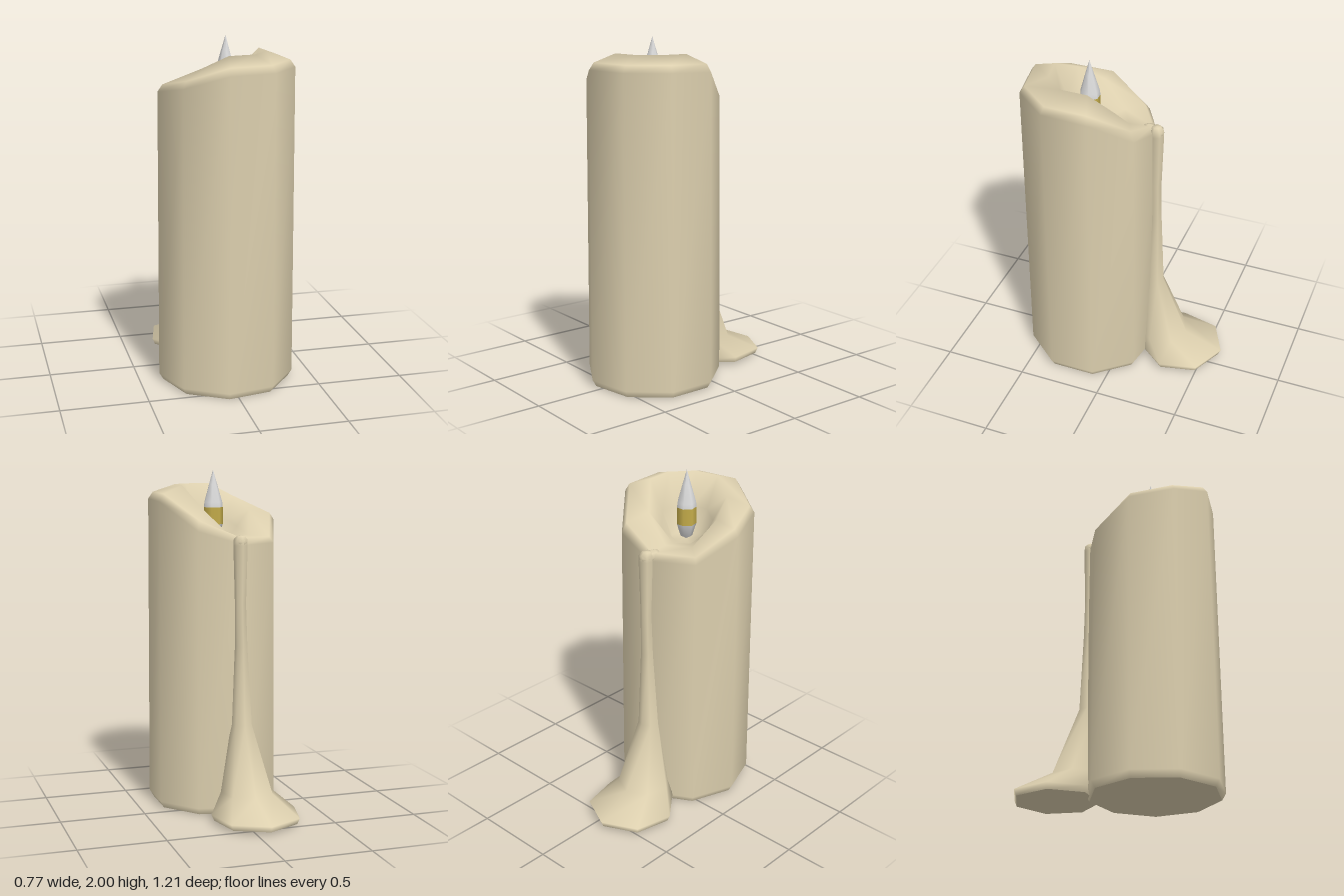
import * as THREE from 'three';

// Smooth skin through rings of points, ordered bottom to top (outward facing).
function loft(rings) {
  const n = rings[0].length, pos = [], idx = [];
  rings.forEach(r => r.forEach(p => pos.push(...p)));
  for (let i = 0; i < rings.length - 1; i++) {
    for (let j = 0; j < n; j++) {
      const a = i * n + j, b = i * n + (j + 1) % n, c = a + n, d = b + n;
      idx.push(a, c, b, b, c, d);
    }
  }
  const g = new THREE.BufferGeometry();
  g.setAttribute('position', new THREE.Float32BufferAttribute(pos, 3));
  g.setIndex(idx);
  g.computeVertexNormals();
  return g;
}

// Horizontal ring; y may be one height or one height per corner.
function ring(n, start, cx, cz, r, y) {
  return Array.from({ length: n }, (_, i) => {
    const a = start + i * 2 * Math.PI / n;
    return [cx + r * Math.cos(a), Array.isArray(y) ? y[i] : y, cz + r * Math.sin(a)];
  });
}

export function createModel() {
  const wax = new THREE.MeshStandardMaterial({ color: 0xdccfae });
  wax.name = 'wax';
  const white = new THREE.MeshStandardMaterial({ color: 0xdadada });
  white.name = 'flameWhite';
  const yellow = new THREE.MeshStandardMaterial({ color: 0xc4ac4a });
  yellow.name = 'flameYellow';

  const model = new THREE.Group();
  model.name = 'candle';
  const add = (name, geo, mat, parent = model) => {
    const m = new THREE.Mesh(geo, mat);
    m.name = name;
    parent.add(m);
    return m;
  };

  // Nine-sided body with a slumped rim; corner heights run from the
  // -x corner, round the back, to the front.
  const CX = 0.01, CZ = 0.213;
  const body = (r, y) => ring(9, Math.PI, CX, CZ, r, y);
  const outer = [1.70, 1.58, 1.58, 1.66, 1.82, 1.83, 1.83, 1.83, 1.75];
  const shoulder = [1.74, 1.615, 1.62, 1.72, 1.865, 1.87, 1.87, 1.87, 1.79];
  const crest = [1.76, 1.62, 1.62, 1.77, 1.913, 1.915, 1.915, 1.915, 1.84];
  const bowl = crest.map(y => 1.6 + (y - 1.6) * 0.4);
  add('candleBody', loft([
    body(0.372, 0), body(0.395, 0.04), body(0.385, outer), body(0.357, shoulder),
    body(0.225, crest), body(0.15, bowl), body(0.09, 1.59), body(0, 1.585),
  ]), wax);
  add('candleBase', loft([body(0, 0), body(0.372, 0)]), wax);

  // Wax run down the back, spreading into a puddle
  const drip = new THREE.Group();
  drip.name = 'waxDrip';
  model.add(drip);
  const run = (cx, cz, r, y) => ring(7, -Math.PI / 2, cx, cz, r, y);
  add('dripRun', loft([
    run(-0.075, -0.345, 0.245, 0.015), run(-0.075, -0.345, 0.26, 0.05),
    run(-0.06, -0.225, 0.155, 0.15), run(-0.045, -0.165, 0.062, 0.54),
    run(-0.04, -0.17, 0.037, 1.0), run(-0.035, -0.17, 0.033, 1.25),
    run(-0.035, -0.17, 0.042, 1.58), run(-0.035, -0.17, 0.04, 1.615),
    run(-0.037, -0.167, 0.025, 1.633), run(-0.037, -0.167, 0, 1.635),
  ]), wax, drip);
  add('puddleUnderside', loft([
    run(-0.075, -0.345, 0, 0.015), run(-0.075, -0.345, 0.245, 0.015),
  ]), wax, drip);

  // Rounded spill where the run leaves the rim
  const spill = add('dripSpill', new THREE.CapsuleGeometry(0.036, 0.06, 3, 8), wax, drip);
  spill.rotation.set(Math.PI / 2, 0, 0.2);
  spill.position.set(-0.042, 1.598, -0.145);

  // Pointed seven-sided flame with a coloured band
  const flame = new THREE.Group();
  flame.name = 'flame';
  flame.position.set(CX, 0, 0.21);
  model.add(flame);
  const lathe = pts => new THREE.LatheGeometry(pts.map(p => new THREE.Vector2(...p)), 7);
  add('flameBase', lathe([[0, 1.585], [0.035, 1.605], [0.058, 1.68]]), white, flame);
  add('flameBand', lathe([[0.058, 1.68], [0.058, 1.78]]), yellow, flame);
  add('flameTip', lathe([[0.058, 1.78], [0.055, 1.81], [0.025, 1.915], [0, 2]]), white, flame);

  return model;
}
